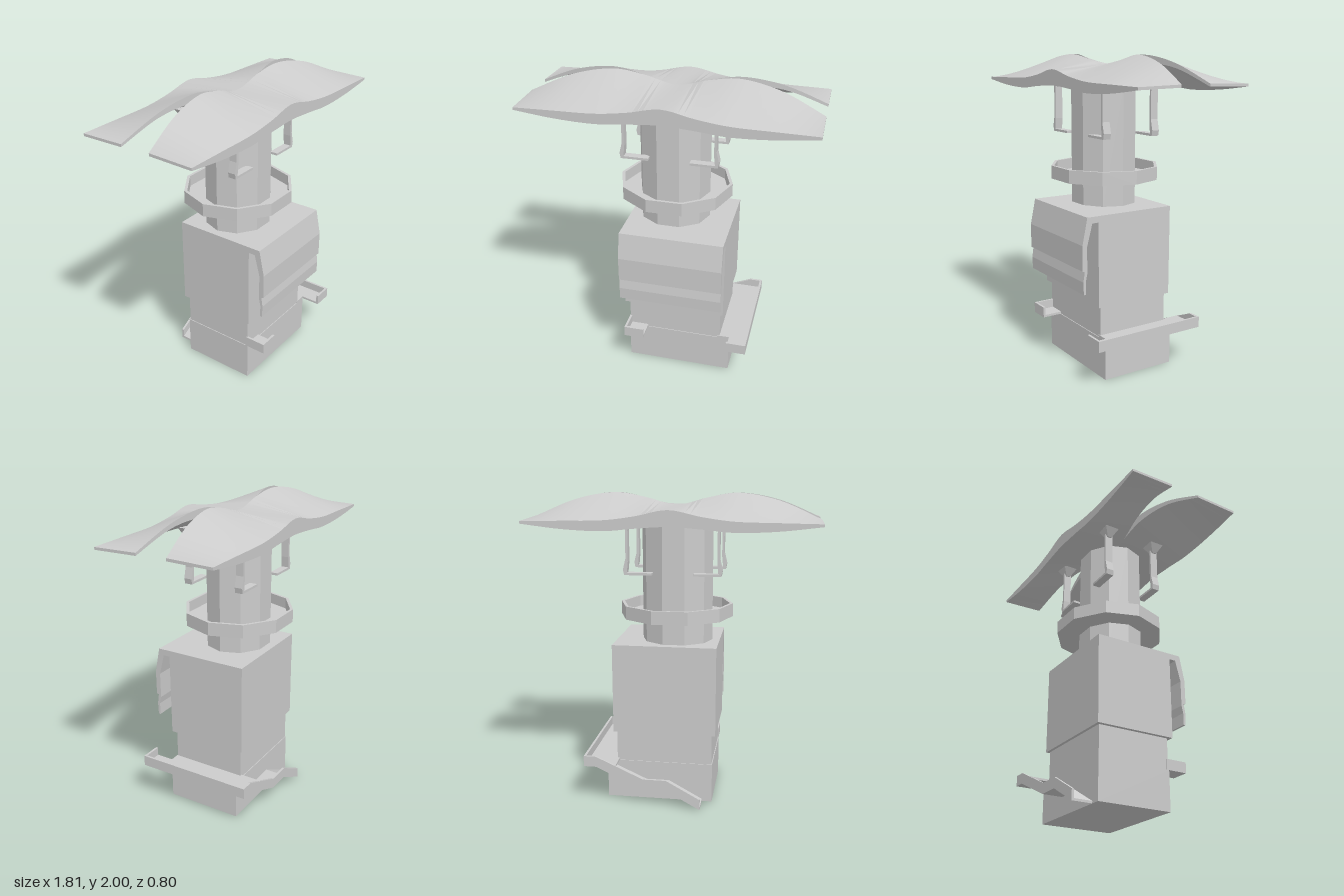
import * as THREE from 'three';
import { toCreasedNormals } from 'three/addons/utils/BufferGeometryUtils.js';

const smooth = new THREE.MeshStandardMaterial({ color: 0xcccccc });
const flat = new THREE.MeshStandardMaterial({ color: 0xcccccc, flatShading: true });

function add(parent, name, geometry, material = flat) {
  const mesh = new THREE.Mesh(geometry, material);
  mesh.name = name;
  parent.add(mesh);
  return mesh;
}

// Box given by its extents
function box(parent, name, x0, x1, y0, y1, z0, z1) {
  const g = new THREE.BoxGeometry(x1 - x0, y1 - y0, z1 - z0);
  g.translate((x0 + x1) / 2, (y0 + y1) / 2, (z0 + z1) / 2);
  return add(parent, name, g);
}

// Outline in x and y, extruded from z0 to z1
function slab(points, z0, z1) {
  const shape = new THREE.Shape(points.map(([x, y]) => new THREE.Vector2(x, y)));
  const g = new THREE.ExtrudeGeometry(shape, { depth: z1 - z0, bevelEnabled: false });
  return g.translate(0, 0, z0);
}

// Closed solid through a row of four-cornered sections
function loft(sections) {
  const pos = [], idx = [], n = 4;
  sections.forEach(s => s.forEach(p => pos.push(...p)));
  for (let i = 0; i < sections.length - 1; i++) {
    for (let j = 0; j < n; j++) {
      const a = i * n + j, b = i * n + (j + 1) % n;
      idx.push(a, b, a + n, b, b + n, a + n);
    }
  }
  const e = (sections.length - 1) * n;
  idx.push(0, 2, 1, 0, 3, 2, e, e + 1, e + 2, e, e + 2, e + 3);
  const g = new THREE.BufferGeometry();
  g.setAttribute('position', new THREE.Float32BufferAttribute(pos, 3));
  g.setIndex(idx);
  return toCreasedNormals(g, 0.5);
}

// Symmetric smooth curve over the stations along x
const stations = [0, 0.2, 0.4, 0.65, 0.905];
function symmetric(values) {
  const right = stations.map((x, i) => new THREE.Vector2(x, values[i]));
  const left = right.slice(1).reverse().map(p => new THREE.Vector2(-p.x, p.y));
  return new THREE.SplineCurve([...left, ...right]);
}

function createRoof() {
  const roof = new THREE.Group();
  roof.name = 'roof';
  const eaveTop = symmetric([1.91, 1.872, 1.847, 1.842, 1.838]);
  const eaveBottom = symmetric([1.812, 1.8, 1.783, 1.793, 1.822]);
  const ridgeTop = symmetric([1.922, 1.968, 1.998, 1.953, 1.845]);
  const ridgeBottom = symmetric([1.835, 1.895, 1.945, 1.925, 1.828]);
  const notch = symmetric([0, 0, 0.02, 0.055, 0.1]);
  const steps = 48, zMid = -0.009, zEave = 0.386;
  for (const side of [1, -1]) {
    const sections = [];
    for (let i = 0; i <= steps; i++) {
      const t = i / steps;
      const x = notch.getPoint(t).x;
      const zIn = zMid + side * Math.max(0, notch.getPoint(t).y);
      const zOut = zMid + side * zEave;
      const s = [
        [x, eaveTop.getPoint(t).y, zOut],
        [x, ridgeTop.getPoint(t).y, zIn],
        [x, ridgeBottom.getPoint(t).y, zIn],
        [x, eaveBottom.getPoint(t).y, zOut],
      ];
      sections.push(side > 0 ? s.reverse() : s);
    }
    // sections run counter-clockwise seen from +x
    const winding = sections.map(s => s.slice().reverse());
    add(roof, side > 0 ? 'frontRoofWing' : 'backRoofWing', loft(winding.map(s => s.reverse())), smooth)
      .material.side = THREE.DoubleSide;
  }
  return roof;
}

function createWalkway() {
  const walkway = new THREE.Group();
  walkway.name = 'walkway';
  // Side platform with parapet
  box(walkway, 'platformFloor', 0.35, 0.56, 0.26, 0.275, -0.375, 0.265);
  box(walkway, 'platformEnd', 0.43, 0.56, 0.26, 0.275, 0.265, 0.395);
  box(walkway, 'outerParapet', 0.545, 0.56, 0.26, 0.33, -0.375, 0.395);
  box(walkway, 'frontParapet', 0.43, 0.56, 0.26, 0.33, 0.38, 0.395);
  // Ramp with a landing along the back
  const path = [[0.56, 0.26], [0.48, 0.26], [0.17, 0.12], [0.02, 0.12], [-0.2, 0]];
  const strip = h => [...path, ...path.slice().reverse().map(([x, y]) => [x, y + h])];
  add(walkway, 'rampFloor', slab(strip(0.015), -0.375, -0.23));
  add(walkway, 'rampParapet', slab(strip(0.07), -0.375, -0.36));
  // Small ledge at the front
  box(walkway, 'ledgeFloor', -0.265, -0.135, 0.26, 0.275, 0.25, 0.395);
  box(walkway, 'ledgeFront', -0.265, -0.135, 0.26, 0.33, 0.38, 0.395);
  box(walkway, 'ledgeSide', -0.265, -0.25, 0.26, 0.33, 0.25, 0.395);
  return walkway;
}

// Hanging strips under the roof, bent in towards the tower
function createHangers() {
  const hangers = new THREE.Group();
  hangers.name = 'hangers';
  const profile = [[0.13, 1.495], [0.305, 1.495], [0.312, 1.53], [0.295, 1.6], [0.295, 1.85],
    [0.28, 1.85], [0.28, 1.58], [0.287, 1.51], [0.13, 1.51]];
  for (const sx of [1, -1]) {
    const points = profile.map(([x, y]) => [sx * x, y]);
    for (const z of [0.175, -0.187]) {
      add(hangers, 'hanger', slab(points, z - 0.026, z + 0.026));
      const flare = new THREE.CylinderGeometry(0.07, 0.02, 0.06, 4);
      flare.rotateY(Math.PI / 4).translate(sx * 0.288, 1.82, z);
      add(hangers, 'hangerFlare', flare);
    }
  }
  return hangers;
}

export function createModel() {
  const model = new THREE.Group();
  model.name = 'tower';

  // Stacked blocks
  box(model, 'base', -0.265, 0.43, 0, 0.26, -0.24, 0.265);
  box(model, 'neck', -0.26, 0.365, 0.26, 0.47, -0.235, 0.26);
  box(model, 'upperBlock', -0.285, 0.385, 0.465, 1.05, -0.255, 0.285);

  // Awning, outlined in z and y and run along x
  const awning = slab([[0.28, 1.05], [0.365, 1.05], [0.4, 0.88], [0.4, 0.72], [0.385, 0.715],
    [0.395, 0.65], [0.392, 0.57], [0.378, 0.57], [0.378, 0.65], [0.367, 0.7], [0.367, 0.87],
    [0.33, 1.01], [0.28, 1.01]], 0, 0.67);
  awning.rotateY(-Math.PI / 2).translate(0.385, 0, 0);
  add(model, 'awning', awning);

  model.add(createWalkway());

  // Faceted shaft and its gallery
  const shaft = new THREE.CylinderGeometry(0.23, 0.23, 0.76, 10);
  shaft.rotateY(Math.PI / 2).scale(1, 1, 0.91).translate(-0.005, 1.43, 0);
  add(model, 'shaft', shaft);
  const rim = [[0.2, 1.21], [0.368, 1.21], [0.368, 1.295], [0.348, 1.295], [0.348, 1.225], [0.2, 1.225]];
  const gallery = new THREE.LatheGeometry(rim.map(([r, y]) => new THREE.Vector2(r, y)), 10);
  gallery.rotateY(Math.PI / 2).scale(1, 1, 0.96).translate(0, 0, -0.005);
  add(model, 'gallery', gallery);

  model.add(createHangers(), createRoof());
  return model;
}
